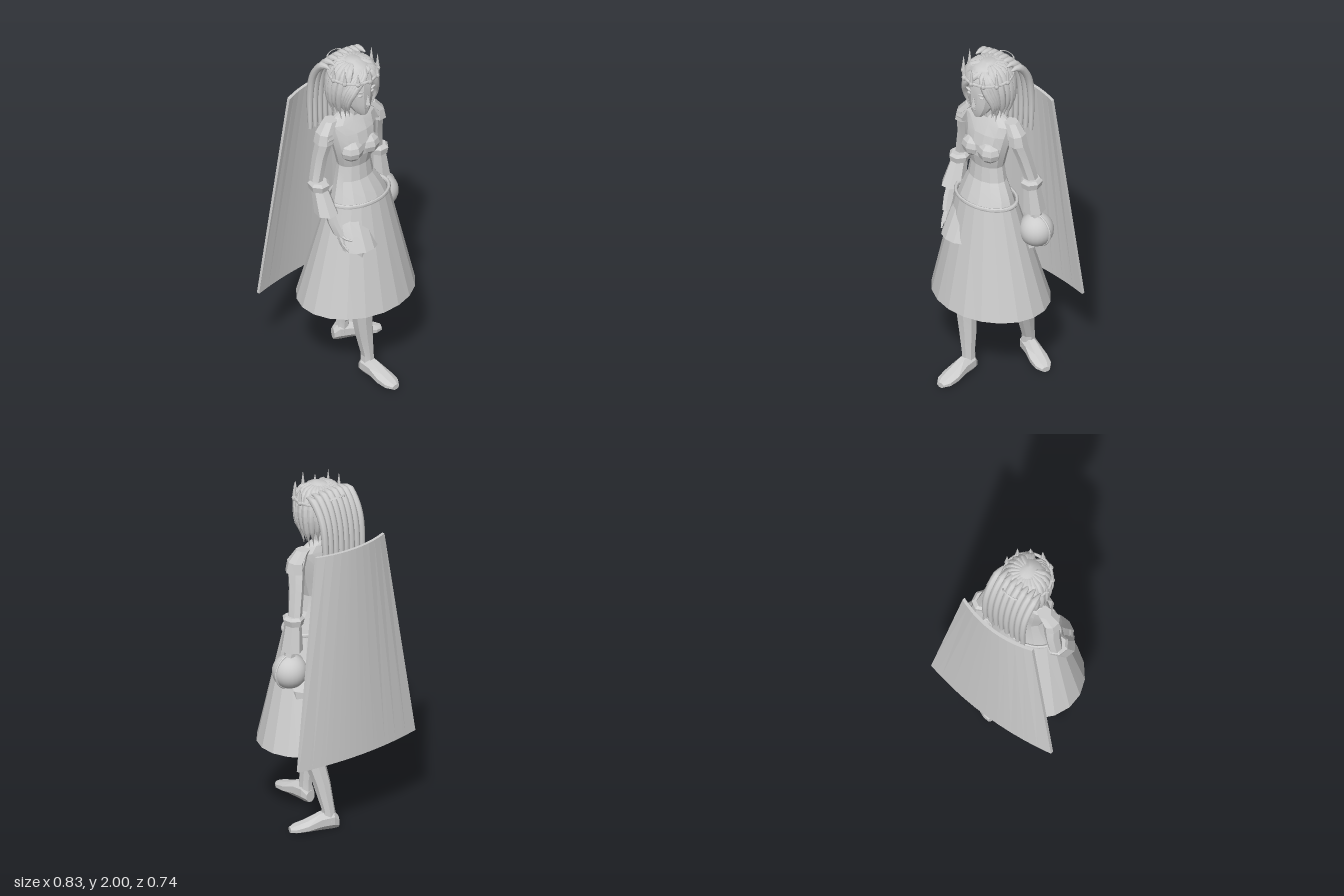
import * as THREE from 'three';
import { toCreasedNormals } from 'three/addons/utils/BufferGeometryUtils.js';

const clay = new THREE.MeshStandardMaterial({ color: 0xcccccc, side: THREE.DoubleSide });
clay.name = 'pale grey';

const V = (p) => new THREE.Vector3(...p);

function add(parent, name, geo, crease = 0.4) {
  const mesh = new THREE.Mesh(crease ? toCreasedNormals(geo, crease) : geo, clay);
  mesh.name = name;
  parent.add(mesh);
  return mesh;
}

// Stacked elliptical sections, each [x, y, z, rx, rz], bottom to top
function loft(sections, sides = 8, capped = true) {
  const pos = [], index = [];
  const rows = sections[0][1] > sections.at(-1)[1] ? [...sections].reverse() : sections;
  rows.forEach(([x, y, z, rx, rz]) => {
    for (let j = 0; j < sides; j++) {
      const a = ((j + 0.5) / sides) * Math.PI * 2;
      pos.push(x + rx * Math.sin(a), y, z + rz * Math.cos(a));
    }
  });
  for (let i = 0; i < rows.length - 1; i++) {
    for (let j = 0; j < sides; j++) {
      const a = i * sides + j, b = i * sides + ((j + 1) % sides);
      index.push(a, b, a + sides, b, b + sides, a + sides);
    }
  }
  if (capped) {
    const top = (rows.length - 1) * sides;
    for (let j = 1; j < sides - 1; j++) index.push(0, j + 1, j, top, top + j, top + j + 1);
  }
  const geo = new THREE.BufferGeometry();
  geo.setAttribute('position', new THREE.Float32BufferAttribute(pos, 3));
  geo.setIndex(index);
  return geo;
}

// Tube along a curve whose radius follows a rule of t
function strand(points, radius, segments = 12, sides = 7) {
  const curve = new THREE.CatmullRomCurve3(points.map(V));
  const geo = new THREE.TubeGeometry(curve, segments, 1, sides, false);
  const p = geo.attributes.position, v = new THREE.Vector3();
  for (let i = 0; i < p.count; i++) {
    const t = Math.floor(i / (sides + 1)) / segments;
    const c = curve.getPointAt(t);
    v.fromBufferAttribute(p, i).sub(c).multiplyScalar(radius(t)).add(c);
    p.setXYZ(i, v.x, v.y, v.z);
  }
  geo.computeVertexNormals();
  return geo;
}

function ellipsoid(parent, name, at, size, w = 8, h = 6) {
  const m = add(parent, name, new THREE.SphereGeometry(1, w, h).scale(...size));
  m.position.set(...at);
  return m;
}

function makeFoot(parent, name, x, z, turn) {
  // Runs from heel to toe; the third value is minus the height
  const geo = loft([[0, -0.05, -0.035, 0.03, 0.035], [0, -0.02, -0.055, 0.045, 0.058],
    [0, 0.05, -0.05, 0.045, 0.053], [0, 0.13, -0.032, 0.055, 0.034],
    [0, 0.19, -0.023, 0.05, 0.024], [0, 0.225, -0.017, 0.025, 0.016]]);
  geo.rotateX(Math.PI / 2);
  const foot = add(parent, name, geo, 0.3);
  foot.position.set(x, 0, z);
  foot.rotation.y = turn;
}

function makeArm(root, name, s, cuff, arm, palm, tips) {
  const g = new THREE.Group();
  g.name = name;
  root.add(g);
  add(g, 'shoulderCap', loft([[s * 0.195, 1.51, -0.03, 0.05, 0.06], [s * 0.19, 1.57, -0.03, 0.04, 0.055],
    [s * 0.14, 1.63, -0.035, 0.04, 0.04]], 7), 0.2);
  add(g, 'sleeve', loft(arm, 7), 0.2);
  add(g, 'cuff', loft(cuff, 7, false), 0.2);
  const e = cuff[1];
  add(g, 'cuffBand', loft([[e[0], e[1] - 0.02, e[2], 0.052, 0.06], [e[0], e[1] + 0.015, e[2], 0.06, 0.066],
    [e[0], e[1] + 0.03, e[2], 0.045, 0.05]], 7), 0.2);
  add(g, 'palm', loft(palm, 6), 0.3);
  const k = palm.at(-1);
  tips.forEach((tip) => add(g, 'finger', strand([[k[0], k[1] + 0.02, k[2]],
    tip.map((c, i) => (c + k[i]) / 2 + (i ? 0 : s * 0.01)), tip], (t) => 0.013 - 0.008 * t, 5, 5)));
}

export function createModel() {
  const root = new THREE.Group();
  root.name = 'gownedFigure';

  // Bodice, neck and skirt
  add(root, 'bodice', loft([[0.012, 1.1, 0.025, 0.18, 0.125], [0.01, 1.16, 0.018, 0.16, 0.105],
    [0, 1.24, 0.003, 0.122, 0.082], [0, 1.33, 0, 0.105, 0.075], [0, 1.4, 0.005, 0.125, 0.085],
    [0, 1.47, 0, 0.142, 0.088], [0, 1.54, -0.01, 0.155, 0.08], [0, 1.6, -0.02, 0.165, 0.06],
    [0, 1.635, -0.025, 0.11, 0.045], [0, 1.65, -0.025, 0.05, 0.04]], 14), 0.2);
  for (const s of [-1, 1]) ellipsoid(root, 'bust', [s * 0.058, 1.435, 0.05], [0.07, 0.065, 0.064]);
  add(root, 'neck', loft([[0, 1.61, -0.02, 0.05, 0.045], [0, 1.66, -0.01, 0.04, 0.038],
    [0, 1.76, 0, 0.042, 0.045]]));
  add(root, 'skirt', loft([[0.02, 0.47, -0.005, 0.353, 0.293], [0.013, 1.12, 0.025, 0.19, 0.133]], 20, false), 0.1);
  add(root, 'skirtLining', loft([[0.02, 0.47, -0.005, 0.343, 0.283], [0.013, 1.12, 0.025, 0.18, 0.123]], 20, false), 0.1);
  const belt = add(root, 'belt', new THREE.TorusGeometry(1, 0.065, 8, 32).rotateX(Math.PI / 2).scale(0.19, 0.19, 0.134), 0.8);
  belt.position.set(0.013, 1.12, 0.025);

  // Shorts, legs and feet in mid-stride
  add(root, 'rightShort', loft([[-0.08, 0.87, 0.13, 0.115, 0.1], [-0.075, 1.02, 0.075, 0.1, 0.085],
    [-0.06, 1.1, 0.04, 0.08, 0.08]], 12));
  add(root, 'leftShort', loft([[0.19, 0.84, -0.09, 0.09, 0.095], [0.13, 1, -0.02, 0.08, 0.085],
    [0.08, 1.1, 0.02, 0.08, 0.08]], 12));
  add(root, 'rightLeg', loft([[-0.02, 0.05, 0.135, 0.04, 0.046], [-0.02, 0.12, 0.135, 0.033, 0.042],
    [-0.035, 0.26, 0.125, 0.05, 0.053], [-0.045, 0.36, 0.122, 0.058, 0.06], [-0.05, 0.47, 0.12, 0.07, 0.07],
    [-0.08, 0.87, 0.12, 0.09, 0.08]]), 0.3);
  add(root, 'leftLeg', loft([[0.105, 0.05, -0.215, 0.043, 0.043], [0.11, 0.12, -0.21, 0.038, 0.036],
    [0.125, 0.27, -0.17, 0.05, 0.053], [0.138, 0.36, -0.14, 0.057, 0.06], [0.15, 0.47, -0.105, 0.072, 0.072],
    [0.18, 0.85, -0.07, 0.08, 0.08]]), 0.3);
  add(root, 'leftBootTop', loft([[0.145, 0.42, -0.12, 0.062, 0.064], [0.15, 0.46, -0.108, 0.085, 0.08]], 8, false));
  makeFoot(root, 'rightFoot', -0.02, 0.142, 0);
  makeFoot(root, 'leftFoot', 0.105, -0.215, 1.17);

  // Arms, each list running from the wrist upward or downward
  makeArm(root, 'rightArm', -1,
    [[-0.225, 1.09, 0.03, 0.065, 0.07], [-0.228, 1.24, -0.03, 0.042, 0.05]],
    [[-0.222, 1.1, 0.05, 0.03, 0.03], [-0.23, 1.27, -0.05, 0.037, 0.042],
      [-0.205, 1.42, -0.045, 0.04, 0.047], [-0.185, 1.54, -0.025, 0.045, 0.055], [-0.155, 1.6, -0.03, 0.035, 0.045]],
    [[-0.22, 1.12, 0.045, 0.022, 0.027], [-0.215, 1.04, 0.07, 0.027, 0.038], [-0.2, 0.97, 0.1, 0.025, 0.04]],
    [[-0.165, 0.87, 0.11], [-0.17, 0.86, 0.13], [-0.18, 0.865, 0.15], [-0.185, 0.88, 0.17], [-0.16, 0.94, 0.17]]);
  makeArm(root, 'leftArm', 1,
    [[0.265, 1.08, -0.085, 0.06, 0.068], [0.248, 1.25, -0.08, 0.04, 0.05]],
    [[0.27, 1.1, -0.085, 0.03, 0.03], [0.24, 1.28, -0.085, 0.037, 0.042],
      [0.21, 1.42, -0.06, 0.04, 0.047], [0.185, 1.54, -0.03, 0.045, 0.055], [0.155, 1.6, -0.03, 0.035, 0.045]],
    [[0.27, 1.12, -0.085, 0.024, 0.028], [0.275, 1.07, -0.085, 0.03, 0.035], [0.28, 1.04, -0.085, 0.03, 0.035]],
    [-0.14, -0.1, -0.07, -0.03].map((z) => [0.335, 0.99, z]));

  // Ball with its upright band
  const ball = ellipsoid(root, 'ball', [0.278, 0.955, -0.085], [0.097, 0.097, 0.097], 24, 16);
  add(ball, 'ballBand', new THREE.TorusGeometry(0.097, 0.007, 6, 36), 1);

  // Head and face
  add(root, 'head', loft([[0, 1.665, 0.075, 0.025, 0.025], [0, 1.69, 0.06, 0.048, 0.048],
    [0, 1.74, 0.035, 0.076, 0.08], [0, 1.8, 0.015, 0.09, 0.1], [0, 1.87, 0.005, 0.1, 0.112],
    [0, 1.92, 0, 0.095, 0.1], [0, 1.96, -0.005, 0.06, 0.07]], 12));
  const nose = add(root, 'nose', new THREE.ConeGeometry(0.02, 0.065, 4).scale(0.8, 1, 1));
  nose.position.set(0, 1.775, 0.117);
  ellipsoid(root, 'mouth', [0, 1.717, 0.102], [0.022, 0.007, 0.01]);
  for (const s of [-1, 1]) {
    ellipsoid(root, 'eye', [s * 0.042, 1.805, 0.1], [0.018, 0.008, 0.01]);
    const brow = ellipsoid(root, 'brow', [s * 0.042, 1.83, 0.104], [0.026, 0.006, 0.009]);
    brow.rotation.z = s * 0.2;
  }

  // Hair: cap, hanging locks, and a fringe swept from the parting
  add(root, 'hairCap', loft([[0, 1.72, -0.06, 0.1, 0.065], [0, 1.8, -0.045, 0.122, 0.085],
    [0, 1.88, -0.02, 0.128, 0.115], [0, 1.93, -0.01, 0.11, 0.11], [0, 1.965, -0.005, 0.07, 0.08],
    [0, 1.985, -0.005, 0.025, 0.03]], 16), 0.7);
  const taper = (r) => (t) => r * (0.35 + 0.65 * Math.sin(Math.PI * Math.min(1, t + 0.1))) * Math.min(1, 4 * (1 - t) + 0.03);
  for (let i = 0; i < 17; i++) {
    const a = THREE.MathUtils.lerp(0.95, Math.PI * 2 - 0.95, i / 16);
    const sx = Math.sin(a), cz = Math.cos(a);
    add(root, 'hairLock', strand([[0.02 * sx, 1.965, 0.02 * cz], [0.085 * sx, 1.95, 0.09 * cz - 0.005],
      [0.123 * sx, 1.86, 0.12 * cz - 0.015], [0.125 * sx, 1.75, 0.11 * cz - 0.025],
      [0.1 * sx, 1.63 + 0.015 * (i % 3), 0.09 * cz - 0.025]], taper(0.026)), 0.9);
  }
  for (const s of [-1, 1]) {
    for (let i = 0; i < 4; i++) {
      add(root, 'fringeLock', strand([[0.02, 1.955, 0.05], [0.02 + s * (0.025 + i * 0.012), 1.925, 0.1 - i * 0.008],
        [s * (0.075 + i * 0.011), 1.85, 0.098 - i * 0.012], [s * (0.1 + i * 0.005), 1.76, 0.07 - i * 0.01],
        [s * (0.075 + i * 0.008), 1.66 + i * 0.008, 0.055 - i * 0.01]], taper(0.02)), 0.9);
    }
  }

  // Crown
  const crown = new THREE.Group();
  crown.name = 'crown';
  root.add(crown);
  const band = add(crown, 'crownBand', new THREE.TorusGeometry(0.135, 0.009, 8, 36).rotateX(Math.PI / 2), 0.9);
  band.position.set(0, 1.9, -0.005);
  for (let i = -3; i <= 3; i++) {
    const a = i * 0.53, h = Math.abs(i) === 1 ? 0.07 : 0.1;
    const at = [0.138 * Math.sin(a), 1.9, 0.138 * Math.cos(a) - 0.005];
    ellipsoid(crown, 'crownBead', at, [0.015, 0.017, 0.015]);
    const spike = add(crown, 'crownSpike', new THREE.ConeGeometry(0.013, h, 6));
    spike.position.set(at[0], 1.9 + h / 2, at[2]);
  }

  // Wide headdress of parallel strands falling down the back
  for (let i = 0; i < 8; i++) {
    const x = -0.129 + i * 0.0369, d = 0.02 * (x / 0.13) ** 2;
    add(root, 'plumeStrand', strand([[x, 1.965 - d, -0.05], [x, 1.965 - d, -0.1], [x, 1.92 - d, -0.15],
      [x, 1.82, -0.192], [x, 1.68, -0.212], [x, 1.48, -0.208]],
    (t) => Math.min(1, 0.2 + t * 8) * (0.022 - 0.01 * t) + 0.003 * Math.sin(t * 3), 18, 8), 0.9);
  }
  const clip = add(root, 'plumeClip', new THREE.TorusGeometry(0.05, 0.006, 6, 14, Math.PI).scale(1, 0.4, 1), 0.9);
  clip.position.set(0, 1.94, -0.155);
  clip.rotation.x = -0.9;

  // Cape: a bowed, leaning slab
  const cape = new THREE.BoxGeometry(2, 1, 1, 10, 1, 1);
  const p = cape.attributes.position;
  for (let i = 0; i < p.count; i++) {
    const u = p.getX(i), top = p.getY(i) > 0, front = p.getZ(i) > 0;
    const z = (top ? -0.272 : -0.326) - 0.045 * (1 - u * u) + (front ? 0.018 : 0);
    p.setXYZ(i, u * (top ? 0.24 : 0.415), top ? 1.695 : 0.47, z);
  }
  add(root, 'cape', cape, 0.05);

  return root;
}
